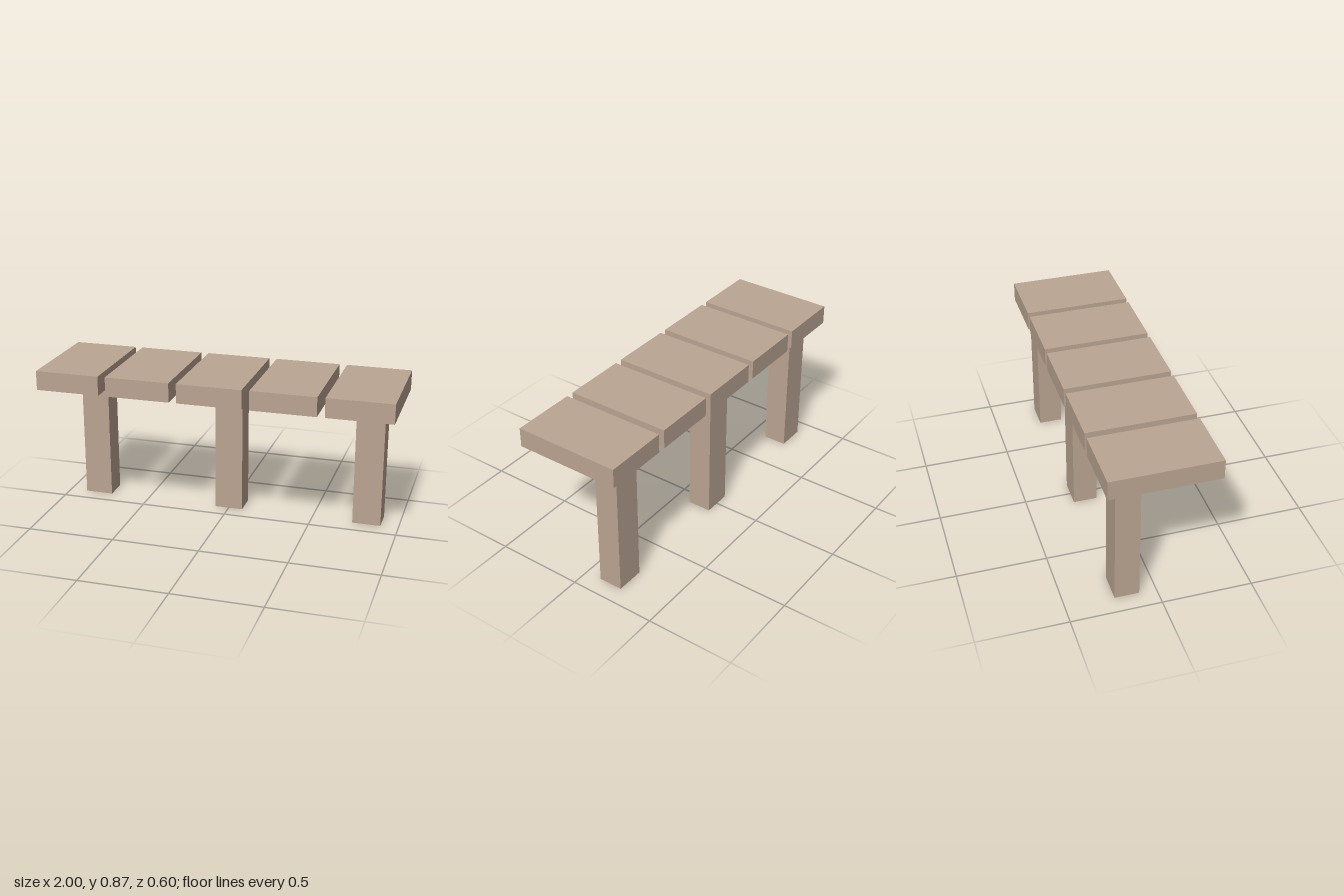
import * as THREE from 'three';

export function createModel() {
  const group = new THREE.Group();
  const stone = new THREE.MeshStandardMaterial({ color: 0xbba592 });
  stone.name = 'stone';

  const pitch = 0.4085, slabBottom = 0.764, slabTop = 0.874;
  const slabGeometry = new THREE.BoxGeometry(0.366, slabTop - slabBottom, 0.6);
  const legGeometry = new THREE.BoxGeometry(0.162, slabBottom, 0.136);

  const add = (name, geometry, x, y, z) => {
    const mesh = new THREE.Mesh(geometry, stone);
    mesh.name = name;
    mesh.position.set(x, y, z);
    group.add(mesh);
  };

  // Five separate seat slabs, with a leg set back under every other one
  for (let i = -2; i <= 2; i++) {
    add(`seatSlab${i + 3}`, slabGeometry, i * pitch, (slabBottom + slabTop) / 2, 0);
    if (i % 2 === 0) add(`leg${i / 2 + 2}`, legGeometry, i * pitch, slabBottom / 2, -0.163);
  }
  return group;
}
